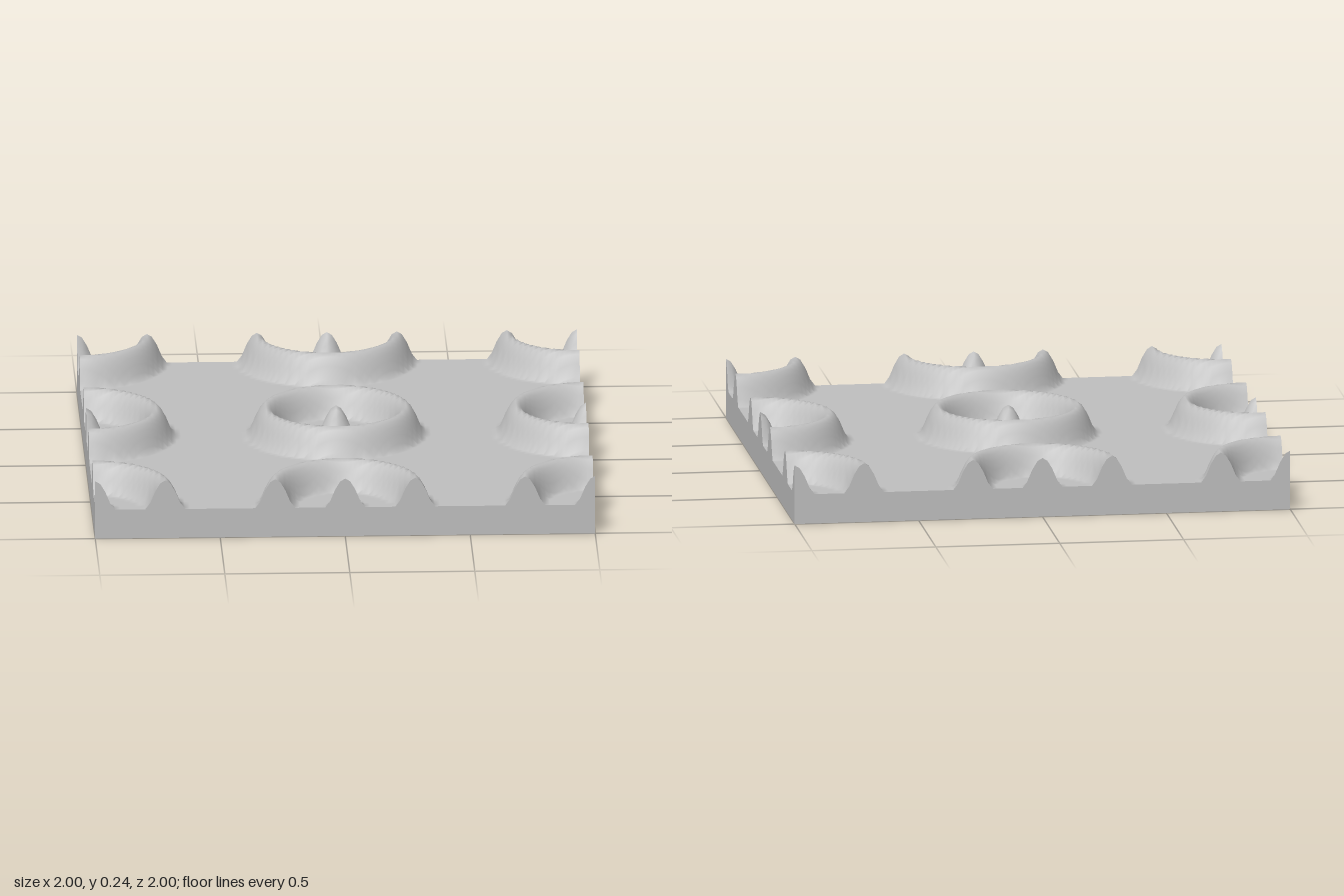
import * as THREE from 'three';

const FLOOR = 0.12;     // slab thickness
const RISE = 0.12;      // height of the ripples above the slab
const WAVE = 0.28;      // distance from centre spike to ring crest
const REACH = 0.36;     // outer radius of a ripple
const CELLS = 100;

// Height of the surface: clipped cosine ripples centred on every whole-unit point
function heightAt(x, z) {
  const r = Math.hypot(x - Math.round(x), z - Math.round(z));
  if (r > REACH) return FLOOR;
  return FLOOR + RISE * Math.max(0, Math.cos((2 * Math.PI * r) / WAVE));
}

export function createModel() {
  const group = new THREE.Group();
  group.name = 'rippledTile';

  const grey = new THREE.MeshStandardMaterial({ color: 0xc0c0c0 });
  grey.name = 'light grey';

  // Square slab whose top surface and wall tops follow the ripples
  const geometry = new THREE.BoxGeometry(2, FLOOR, 2, CELLS, 1, CELLS);
  geometry.translate(0, FLOOR / 2, 0);
  const p = geometry.attributes.position;
  for (let i = 0; i < p.count; i++) {
    if (p.getY(i) > FLOOR / 2) p.setY(i, heightAt(p.getX(i), p.getZ(i)));
  }
  geometry.computeVertexNormals();

  const slab = new THREE.Mesh(geometry, grey);
  slab.name = 'rippledSlab';
  group.add(slab);
  return group;
}
